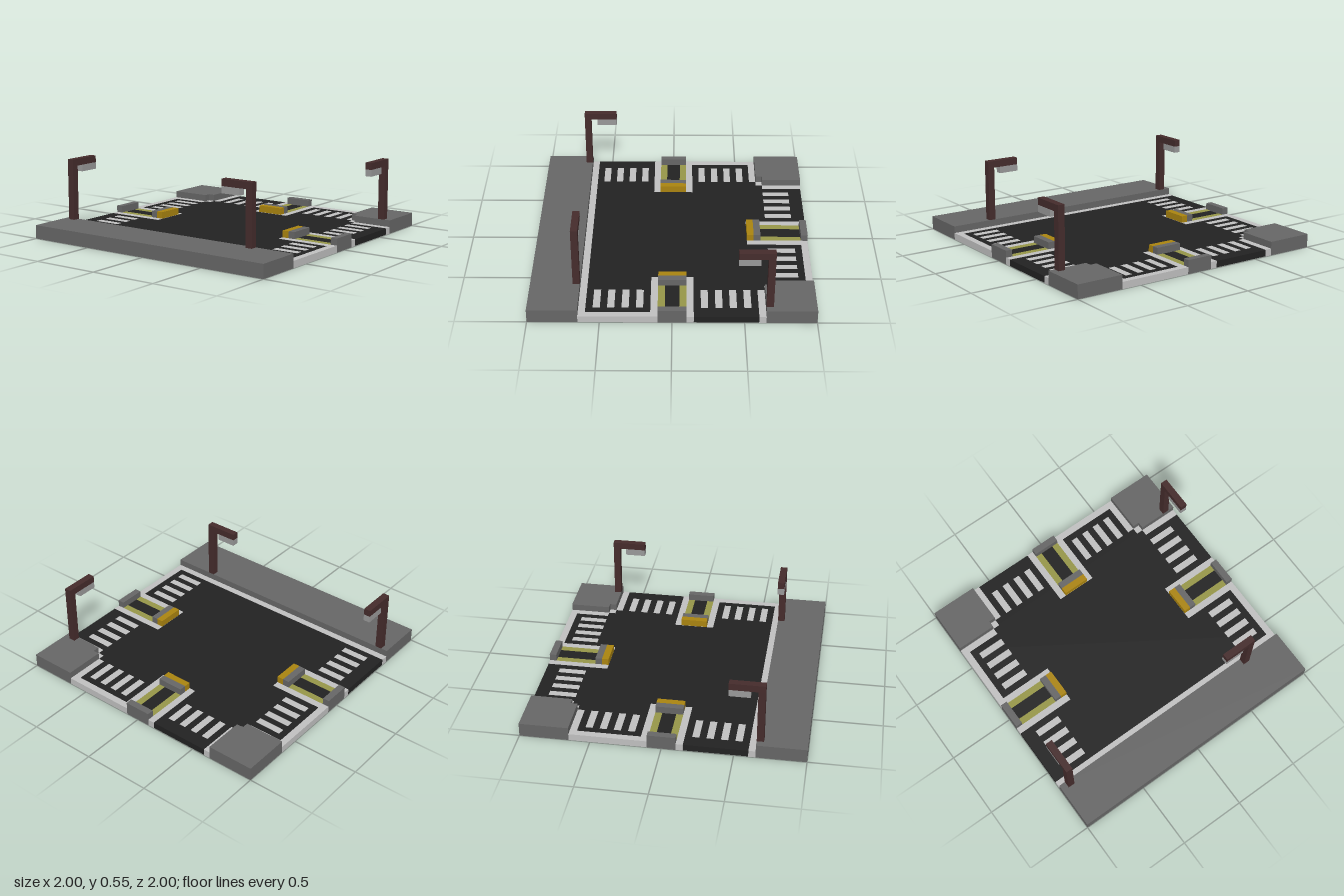
import * as THREE from 'three';

const mat = (name, color) => {
  const m = new THREE.MeshStandardMaterial({ color });
  m.name = name;
  return m;
};

export function createModel() {
  const asphalt = mat('asphalt', 0x222222);
  const paving = mat('paving grey', 0x666666);
  const paint = mat('pale marking', 0xc0c0c0);
  const olive = mat('olive strip', 0x969648);
  const amber = mat('amber', 0xaa8410);
  const brown = mat('brown metal', 0x452c2c);
  const lampGrey = mat('lamp grey', 0x999999);

  const model = new THREE.Group();
  model.name = 'roadJunction';

  // Box given by its minimum and maximum corners
  const box = (parent, name, m, x0, x1, y0, y1, z0, z1) => {
    const mesh = new THREE.Mesh(new THREE.BoxGeometry(x1 - x0, y1 - y0, z1 - z0), m);
    mesh.position.set((x0 + x1) / 2, (y0 + y1) / 2, (z0 + z1) / 2);
    mesh.name = name;
    parent.add(mesh);
  };
  const group = (name) => {
    const g = new THREE.Group();
    g.name = name;
    model.add(g);
    return g;
  };
  const H = 0.05; // road thickness
  const e = 0.0015; // asphalt inset, keeps flush markings clear of it

  // Road slab, with notches left for the raised corners
  const road = group('road');
  box(road, 'mainRoad', asphalt, -0.64, 0.66, e, H - e, -1 + e, 1 - e);
  box(road, 'sideRoad', asphalt, 0.66, 1 - e, e, H - e, -0.66, 0.66);

  // Pavements: long left side and two notched right corners
  const pavement = group('pavement');
  box(pavement, 'longPavement', paving, -1, -0.65, 0, 0.1, -1, 1);
  const kerbs = group('kerbLines');
  box(kerbs, 'longKerb', paint, -0.65, -0.6, 0, H, -1, 1);
  for (const s of [-1, 1]) {
    const zBox = (parent, name, m, x0, x1, h, a, b) =>
      box(parent, name, m, x0, x1, 0, h, Math.min(s * a, s * b), Math.max(s * a, s * b));
    zBox(pavement, 'cornerPavement', paving, 0.7, 1, 0.1, 0.65, 1);
    zBox(pavement, 'cornerPavementSide', paving, 0.65, 0.7, 0.1, 0.7, 1);
    zBox(kerbs, 'cornerKerbMain', paint, 0.6, 0.65, H, 0.7, 1);
    zBox(kerbs, 'cornerKerbNotch', paint, 0.65, 0.7, H, 0.65, 0.7);
    zBox(kerbs, 'cornerKerbSide', paint, 0.7, 1, H, 0.6, 0.65);
  }

  // Each arm, modelled toward +z: stop line, zebra stripes and median
  const arms = [['front', 0], ['right', Math.PI / 2], ['back', Math.PI]];
  for (const [label, turn] of arms) {
    const arm = group(label + 'Arm');
    arm.rotation.y = turn;
    box(arm, 'stopLine', paint, -0.6, -0.15, 0, H, 0.95, 1);
    for (const s of [-1, 1]) {
      for (let i = 0; i < 4; i++) {
        const x = s * (0.225 + i * 0.1);
        box(arm, 'crossingStripe', paint, x - 0.025, x + 0.025, 0, H, 0.7, 0.9);
      }
      const border = s * 0.125;
      box(arm, 'medianBorder', paint, border - 0.025, border + 0.025, 0, H, 0.55, 1);
      const strip = s * 0.075;
      box(arm, 'medianStrip', olive, strip - 0.025, strip + 0.025, 0, H, 0.65, 0.95);
    }
    box(arm, 'medianEndLine', paint, -0.1, 0.1, 0, H, 0.55, 0.6);
    box(arm, 'innerBarrier', paving, -0.1, 0.1, 0, 0.1, 0.6, 0.65);
    box(arm, 'outerBarrier', paving, -0.1, 0.1, 0, 0.1, 0.95, 1);
    box(arm, 'warningBlock', amber, -0.1, 0.1, H, 0.1, 0.55, 0.6);
  }

  // Street lamps, modelled with the arm toward +x
  const lamps = [
    [-0.675, -0.925, 0],
    [-0.675, 0.675, Math.PI / 2],
    [0.675, 0.925, Math.PI],
  ];
  for (const [x, z, turn] of lamps) {
    const lamp = group('streetLamp');
    lamp.position.set(x, 0, z);
    lamp.rotation.y = turn;
    box(lamp, 'lampPost', brown, -0.025, 0.025, 0.1, 0.5, -0.025, 0.025);
    box(lamp, 'lampArm', brown, -0.025, 0.225, 0.5, 0.55, -0.025, 0.025);
    box(lamp, 'lampHead', lampGrey, 0.075, 0.225, 0.45, 0.5, -0.025, 0.025);
  }
  return model;
}
